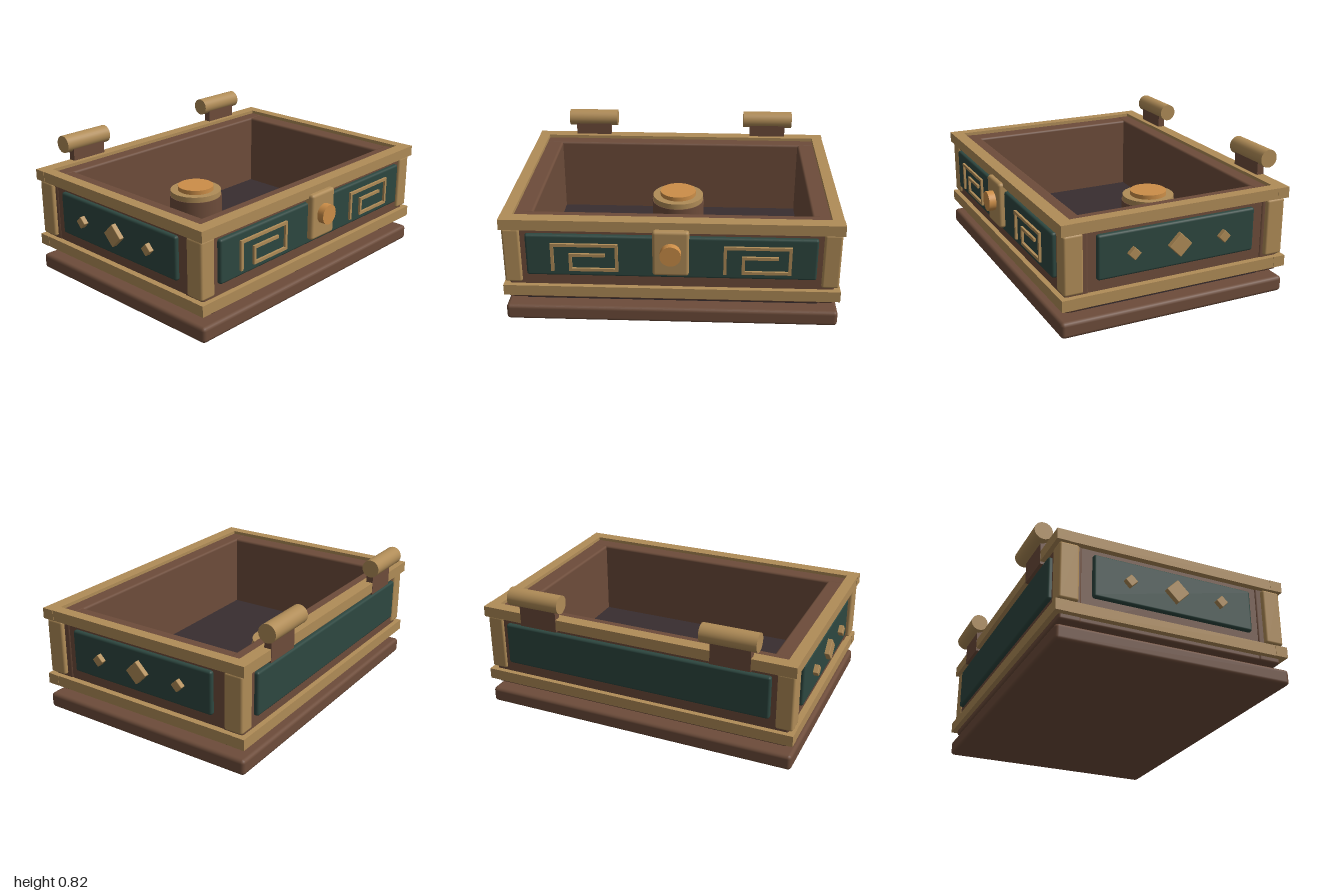
import * as THREE from 'three';
import { RoundedBoxGeometry } from 'three/addons/geometries/RoundedBoxGeometry.js';

const mat = (name, color) => {
  const m = new THREE.MeshStandardMaterial({ color });
  m.name = name;
  return m;
};

export function createModel() {
  const wood = mat('brown wood', 0x6d4c3a);
  const brass = mat('antique brass', 0xb08c57);
  const teal = mat('teal inlay', 0x2d4740);
  const dark = mat('dark lining', 0x382d30);
  const copper = mat('copper', 0xcc8e48);

  const model = new THREE.Group();
  model.name = 'openBox';

  // Box from min/max ranges, optionally with rounded edges
  const box = (name, material, [x0, x1], [y0, y1], [z0, z1], r = 0) => {
    const s = [x1 - x0, y1 - y0, z1 - z0];
    const geo = r ? new RoundedBoxGeometry(...s, 2, r) : new THREE.BoxGeometry(...s);
    const mesh = new THREE.Mesh(geo, material);
    mesh.name = name;
    mesh.position.set((x0 + x1) / 2, (y0 + y1) / 2, (z0 + z1) / 2);
    model.add(mesh);
    return mesh;
  };
  // Same box on the left and right sides
  const pair = (name, material, [x0, x1], y, z, r) => {
    box(name + 'Left', material, [x0, x1], y, z, r);
    box(name + 'Right', material, [-x1, -x0], y, z, r);
  };
  const cylinder = (name, material, r, h, x, y, z, axis = 'y') => {
    const geo = new THREE.CylinderGeometry(r, r, h, 32);
    if (axis === 'x') geo.rotateZ(Math.PI / 2);
    if (axis === 'z') geo.rotateX(Math.PI / 2);
    const mesh = new THREE.Mesh(geo, material);
    mesh.name = name;
    mesh.position.set(x, y, z);
    model.add(mesh);
  };

  // Plinth and recessed neck whose top is the inner floor
  box('base', wood, [-0.98, 0.98], [0, 0.095], [-0.717, 0.708], 0.022);
  box('neckAndFloor', dark, [-0.87, 0.87], [0.08, 0.16], [-0.612, 0.608], 0.01);

  // Walls
  box('frontWall', wood, [-0.95, 0.95], [0.135, 0.64], [0.535, 0.675], 0.015);
  box('backWall', wood, [-0.95, 0.95], [0.135, 0.64], [-0.69, -0.56], 0.015);
  pair('sideWall', wood, [0.81, 0.945], [0.137, 0.638], [-0.58, 0.56], 0.015);

  // Brass frames around the foot and the top of the walls
  for (const [name, y] of [['lowerBand', [0.167, 0.233]], ['rim', [0.595, 0.66]]]) {
    box(name + 'Front', brass, [-0.985, 0.985], y, [0.628, 0.706]);
    box(name + 'Back', brass, [-0.985, 0.985], y, [-0.721, -0.645]);
    pair(name + 'Side', brass, [0.915, 0.983], y, [-0.645, 0.628]);
  }

  // Corner posts
  pair('frontPost', brass, [0.872, 0.975], [0.247, 0.592], [0.575, 0.69], 0.014);
  pair('backPost', brass, [0.872, 0.975], [0.247, 0.592], [-0.702, -0.585], 0.014);

  // Inlaid panels
  box('frontPanel', teal, [-0.84, 0.84], [0.303, 0.565], [0.66, 0.701], 0.014);
  box('backPanel', teal, [-0.84, 0.84], [0.303, 0.565], [-0.716, -0.675], 0.014);
  pair('sidePanel', teal, [0.93, 0.97], [0.3, 0.562], [-0.5, 0.49], 0.014);

  // Diamond studs on the side panels
  for (const side of [-1, 1]) {
    for (const [z, half] of [[0.28, 0.038], [-0.003, 0.071], [-0.288, 0.038]]) {
      const edge = half * Math.SQRT2;
      const stud = new THREE.Mesh(new RoundedBoxGeometry(0.05, edge, edge, 1, 0.004), brass);
      stud.name = 'diamondStud';
      stud.position.set(side * 0.975, 0.432, z);
      stud.rotation.x = Math.PI / 4;
      model.add(stud);
    }
  }

  // Angular key pattern on the front panel, repeated without mirroring
  const w = 0.009;
  const path = [[-0.684, 0.348], [-0.684, 0.508], [-0.312, 0.508], [-0.312, 0.351],
    [-0.579, 0.351], [-0.579, 0.445], [-0.388, 0.445]];
  for (const dx of [0, 0.995]) {
    for (let i = 1; i < path.length; i++) {
      const [a, b] = [path[i - 1], path[i]];
      const xs = [Math.min(a[0], b[0]) - w + dx, Math.max(a[0], b[0]) + w + dx];
      const ys = [Math.min(a[1], b[1]) - w, Math.max(a[1], b[1]) + w];
      box('keyPatternBar', brass, xs, ys, [0.69, 0.715]);
    }
  }

  // Clasp
  box('claspPlate', brass, [-0.105, 0.105], [0.333, 0.617], [0.67, 0.737], 0.018);
  cylinder('claspKnob', copper, 0.061, 0.06, 0, 0.483, 0.75, 'z');

  // Hinges along the back rim
  for (const side of [-1, 1]) {
    const x = side * 0.606;
    box('hingeLeaf', wood, [x - 0.12, x + 0.12], [0.58, 0.75], [-0.722, -0.677]);
    cylinder('hingeBarrel', brass, 0.055, 0.333, x, 0.768, -0.722, 'x');
  }

  // Round pedestal on the inner floor
  cylinder('pedestal', wood, 0.175, 0.18, 0, 0.235, -0.335);
  cylinder('pedestalRing', brass, 0.17, 0.04, 0, 0.341, -0.335);
  cylinder('pedestalCap', copper, 0.12, 0.04, 0, 0.37, -0.335);

  return model;
}
